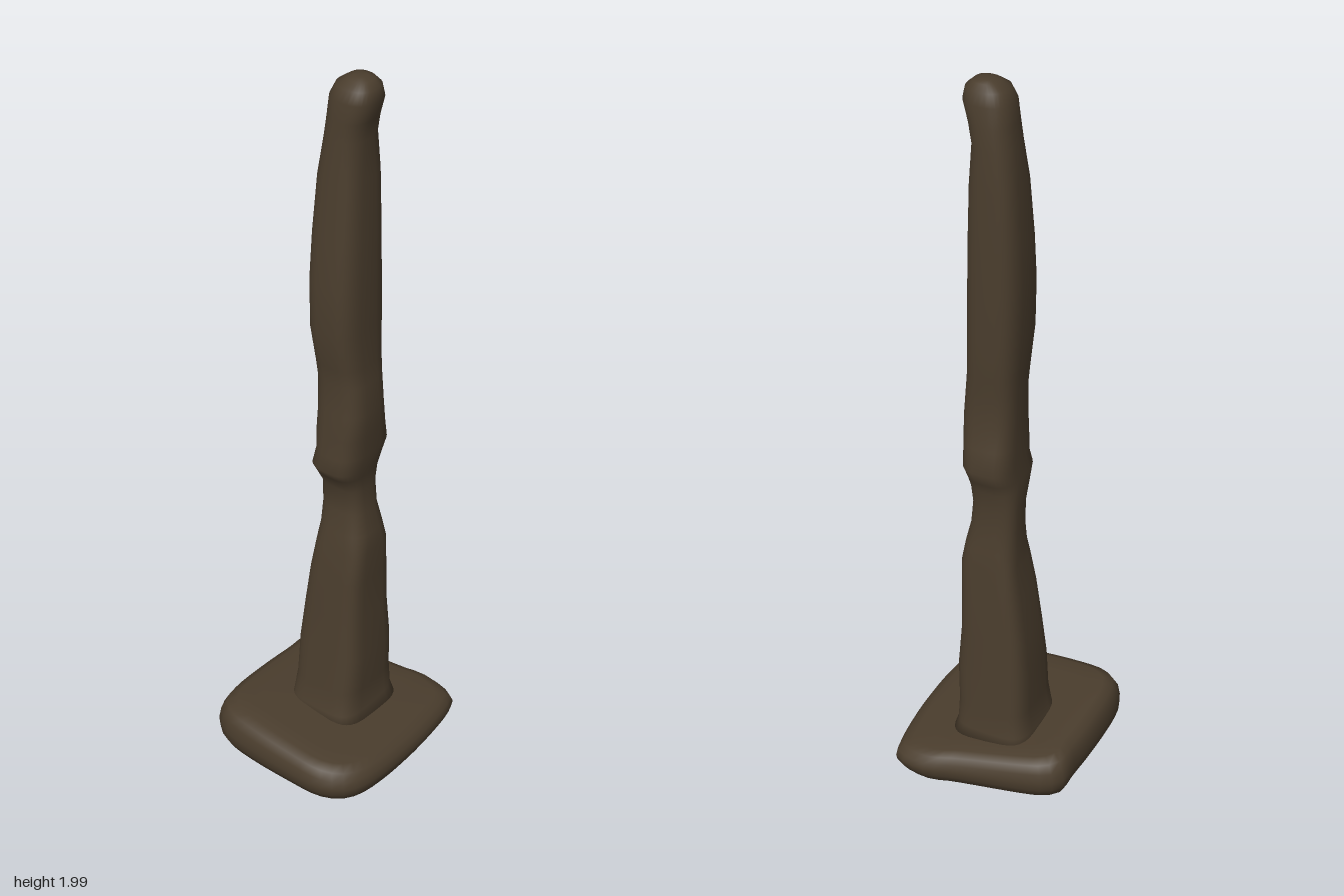
import * as THREE from 'three';

// Closed smooth skin over rings of points, listed bottom to top
function loft(rings) {
  const n = rings[0].length, pos = [], idx = [];
  const centre = (r) => r.reduce((s, p) => s.add(p), new THREE.Vector3()).divideScalar(n);
  rings.forEach((r) => r.forEach((p) => pos.push(p.x, p.y, p.z)));
  for (let i = 0; i < rings.length - 1; i++) {
    for (let j = 0; j < n; j++) {
      const k = (j + 1) % n, a = i * n + j, b = i * n + k;
      idx.push(a, a + n, b, b, a + n, b + n);
    }
  }
  const last = (rings.length - 1) * n, lo = rings.length * n, hi = lo + 1;
  [rings[0], rings[rings.length - 1]].forEach((r) => pos.push(...centre(r).toArray()));
  for (let j = 0; j < n; j++) {
    const k = (j + 1) % n;
    idx.push(lo, j, k, hi, last + k, last + j);
  }
  const g = new THREE.BufferGeometry();
  g.setAttribute('position', new THREE.Float32BufferAttribute(pos, 3));
  g.setIndex(idx);
  g.computeVertexNormals();
  return g;
}

// Rounded-square ring: higher power gives squarer corners
function section([y, x0, x1, z0, z1], power, n = 32) {
  const round = (v) => Math.sign(v) * Math.abs(v) ** (2 / power);
  return Array.from({ length: n }, (_, j) => {
    const t = (j / n) * Math.PI * 2;
    return new THREE.Vector3(
      (x0 + x1) / 2 + round(Math.cos(t)) * (x1 - x0) / 2, y,
      (z0 + z1) / 2 + round(Math.sin(t)) * (z1 - z0) / 2);
  });
}

export function createModel() {
  const group = new THREE.Group();
  const wood = new THREE.MeshStandardMaterial({ color: 0x4a3d2d });
  wood.name = 'dark brown';
  const add = (name, geometry) => {
    const mesh = new THREE.Mesh(geometry, wood);
    mesh.name = name;
    group.add(mesh);
  };

  // Lower post, square and tapering: y, x range, z range
  const lower = [
    [0.12, -0.13, 0.12, -0.16, 0.1], [0.18, -0.11, 0.1, -0.147, 0.08],
    [0.25, -0.102, 0.096, -0.143, 0.07], [0.36, -0.1, 0.1, -0.137, 0.06],
    [0.48, -0.09, 0.09, -0.132, 0.046], [0.6, -0.074, 0.09, -0.126, 0.04],
    [0.69, -0.062, 0.09, -0.12, 0.026], [0.74, -0.059, 0.084, -0.116, 0.018],
    [0.8, -0.058, 0.07, -0.106, 0.005],
  ];
  // Upper post with a knot above the neck and a rounded, leaning tip
  const upper = [
    [0.87, -0.06, 0.063, -0.107, 0.005], [0.92, -0.06, 0.07, -0.112, 0.035],
    [0.95, -0.059, 0.076, -0.122, 0.055], [0.99, -0.056, 0.08, -0.14, 0.044],
    [1.05, -0.053, 0.085, -0.124, 0.045], [1.12, -0.053, 0.088, -0.111, 0.036],
    [1.2, -0.055, 0.081, -0.111, 0.032], [1.25, -0.058, 0.076, -0.115, 0.038],
    [1.35, -0.064, 0.075, -0.118, 0.054], [1.48, -0.068, 0.073, -0.118, 0.05],
    [1.6, -0.066, 0.07, -0.117, 0.04], [1.75, -0.058, 0.064, -0.115, 0.026],
    [1.85, -0.047, 0.06, -0.111, 0.018], [1.9, -0.041, 0.07, -0.107, 0.015],
    [1.95, -0.036, 0.086, -0.102, 0.012], [1.98, -0.022, 0.08, -0.094, 0.002],
    [1.995, 0, 0.063, -0.08, -0.018], [2, 0.015, 0.045, -0.065, -0.035],
  ];
  const post = [...lower, ...upper].map((s) => section(s, s[0] < 0.7 ? 4 : s[0] < 1.8 ? 3 : 2.4));
  add('post', loft(post));

  // Lopsided slab foot: outline seen from above, as x, z
  const outline = [
    [-0.235, -0.155], [-0.205, -0.185], [-0.165, -0.2], [0.06, -0.25], [0.11, -0.265],
    [0.15, -0.265], [0.21, -0.247], [0.225, -0.205], [0.24, -0.08], [0.242, 0],
    [0.24, 0.08], [0.23, 0.16], [0.215, 0.2], [0.19, 0.23], [0.14, 0.255], [0.03, 0.262],
    [-0.11, 0.26], [-0.18, 0.25], [-0.225, 0.22], [-0.24, 0.165], [-0.243, 0.03], [-0.238, -0.08],
  ];
  const rim = new THREE.CatmullRomCurve3(outline.map(([x, z]) => new THREE.Vector3(x, 0, z)), true)
    .getSpacedPoints(56).slice(0, 56);
  // Rings as scale, height, share of the sideways tilt of the top
  const rings = [
    [0.05, 0.028, 0], [0.2, 0.018, 0], [0.35, 0.006, 0], [0.6, 0.018, 0], [0.82, 0.036, 0],
    [0.94, 0.06, 0.1], [0.99, 0.085, 0.2], [1, 0.108, 0.4], [0.98, 0.132, 0.7],
    [0.93, 0.152, 0.9], [0.84, 0.163, 1], [0.65, 0.163, 1], [0.4, 0.165, 1], [0.1, 0.165, 1],
  ].map(([s, y, tilt]) => rim.map((p) =>
    new THREE.Vector3(p.x * s, y + tilt * s * (-0.1 * p.x + 0.05 * p.z), p.z * s)));
  add('foot', loft(rings));

  return group;
}
